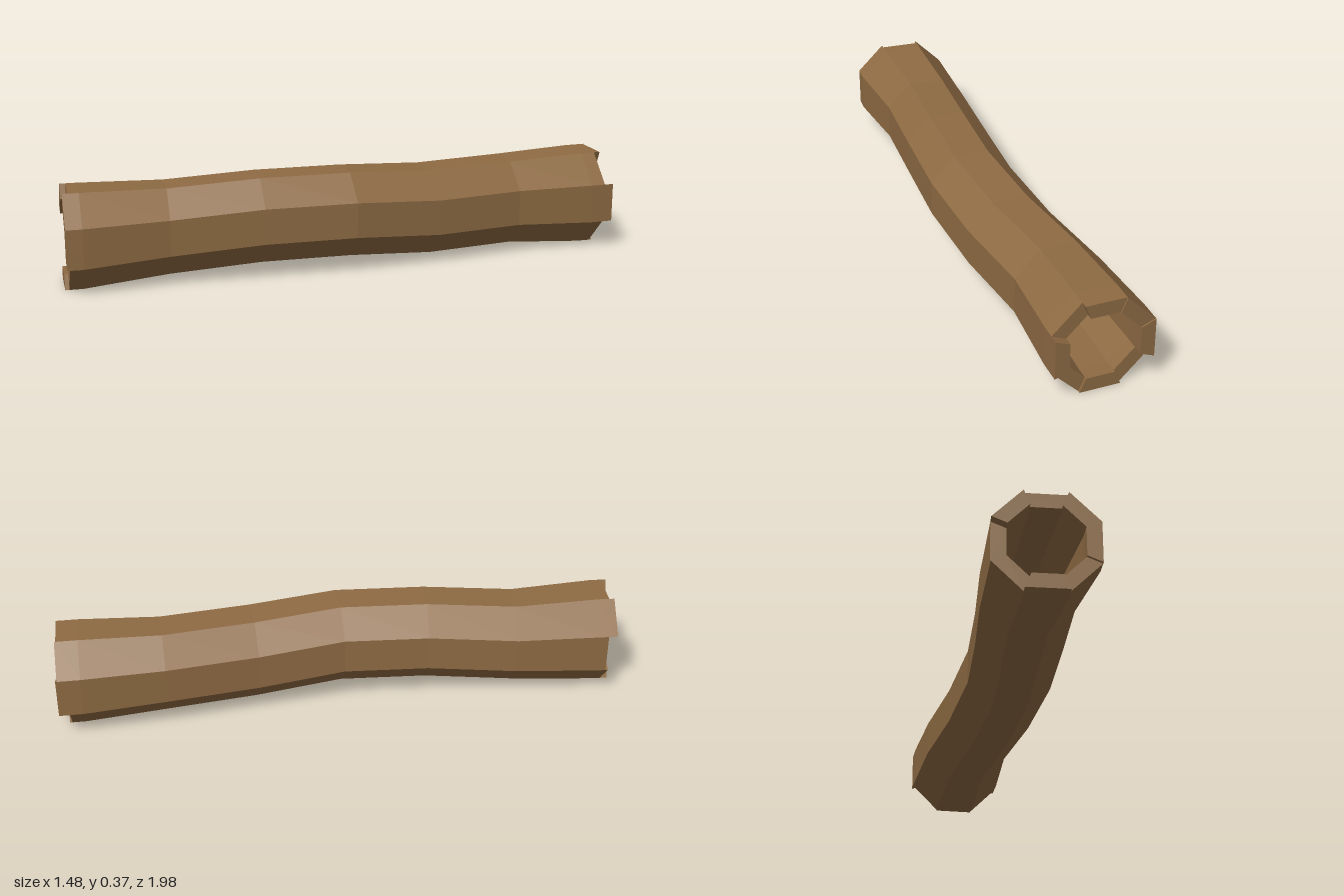
import * as THREE from 'three';

// Centre line from back to front: x, y, z, circumradius, yaw of the cross-section
const RINGS = [
  [0.53, 0.187, -0.82, 0.196, 0.59],
  [0.36, 0.192, -0.565, 0.178, 0.56],
  [0.20, 0.193, -0.255, 0.177, 0.54],
  [0.035, 0.217, 0.035, 0.175, 0.57],
  [-0.17, 0.216, 0.30, 0.175, 0.66],
  [-0.39, 0.194, 0.565, 0.177, 0.68],
  [-0.57, 0.187, 0.83, 0.196, 0.66],
];
// How far each of the eight staves sticks out past the end rings
const BACK = [0.09, 0.055, 0.08, 0.085, 0.09, 0.05, 0.06, 0.05];
const FRONT = [0.06, 0.06, 0.04, 0.06, 0.025, 0.035, 0.065, 0.05];
const SIDES = 8;
const INNER = 0.71;

// Slide a ring along its own axis
function slide([x, y, z, r, yaw], d) {
  return [x - Math.sin(yaw) * d, y, z + Math.cos(yaw) * d, r, yaw];
}

function ringPoint([x, y, z, r, yaw], angle, scale) {
  const side = Math.cos(angle) * r * scale;
  return [x + Math.cos(yaw) * side, y + Math.sin(angle) * r * scale, z + Math.sin(yaw) * side];
}

// One stave: outer bark, inner wall, end caps and the exposed flanks of its tips
function staveGeometry(k) {
  const a0 = ((k - 0.5) / SIDES) * Math.PI * 2;
  const a1 = ((k + 0.5) / SIDES) * Math.PI * 2;
  const rings = [slide(RINGS[0], -BACK[k]), ...RINGS, slide(RINGS[RINGS.length - 1], FRONT[k])];
  const sections = rings.map((ring) => ({
    out0: ringPoint(ring, a0, 1),
    out1: ringPoint(ring, a1, 1),
    in0: ringPoint(ring, a0, INNER),
    in1: ringPoint(ring, a1, INNER),
  }));
  const positions = [];
  const quad = (a, b, c, d) => positions.push(...a, ...b, ...c, ...a, ...c, ...d);
  const last = sections.length - 1;
  for (let i = 0; i < last; i++) {
    const p = sections[i], q = sections[i + 1];
    quad(p.out0, p.out1, q.out1, q.out0);
    quad(p.in1, p.in0, q.in0, q.in1);
    if (i === 0 || i === last - 1) {
      quad(p.in0, p.out0, q.out0, q.in0);
      quad(p.out1, p.in1, q.in1, q.out1);
    }
  }
  const b = sections[0], f = sections[last];
  quad(b.in1, b.out1, b.out0, b.in0);
  quad(f.in0, f.out0, f.out1, f.in1);
  const geometry = new THREE.BufferGeometry();
  geometry.setAttribute('position', new THREE.Float32BufferAttribute(positions, 3));
  geometry.computeVertexNormals();
  return geometry;
}

export function createModel() {
  const bark = new THREE.MeshStandardMaterial({ color: 0x8e6b43 });
  bark.name = 'bark brown';
  const log = new THREE.Group();
  log.name = 'hollowLog';
  for (let k = 0; k < SIDES; k++) {
    const stave = new THREE.Mesh(staveGeometry(k), bark);
    stave.name = `logStave${k + 1}`;
    log.add(stave);
  }
  return log;
}
